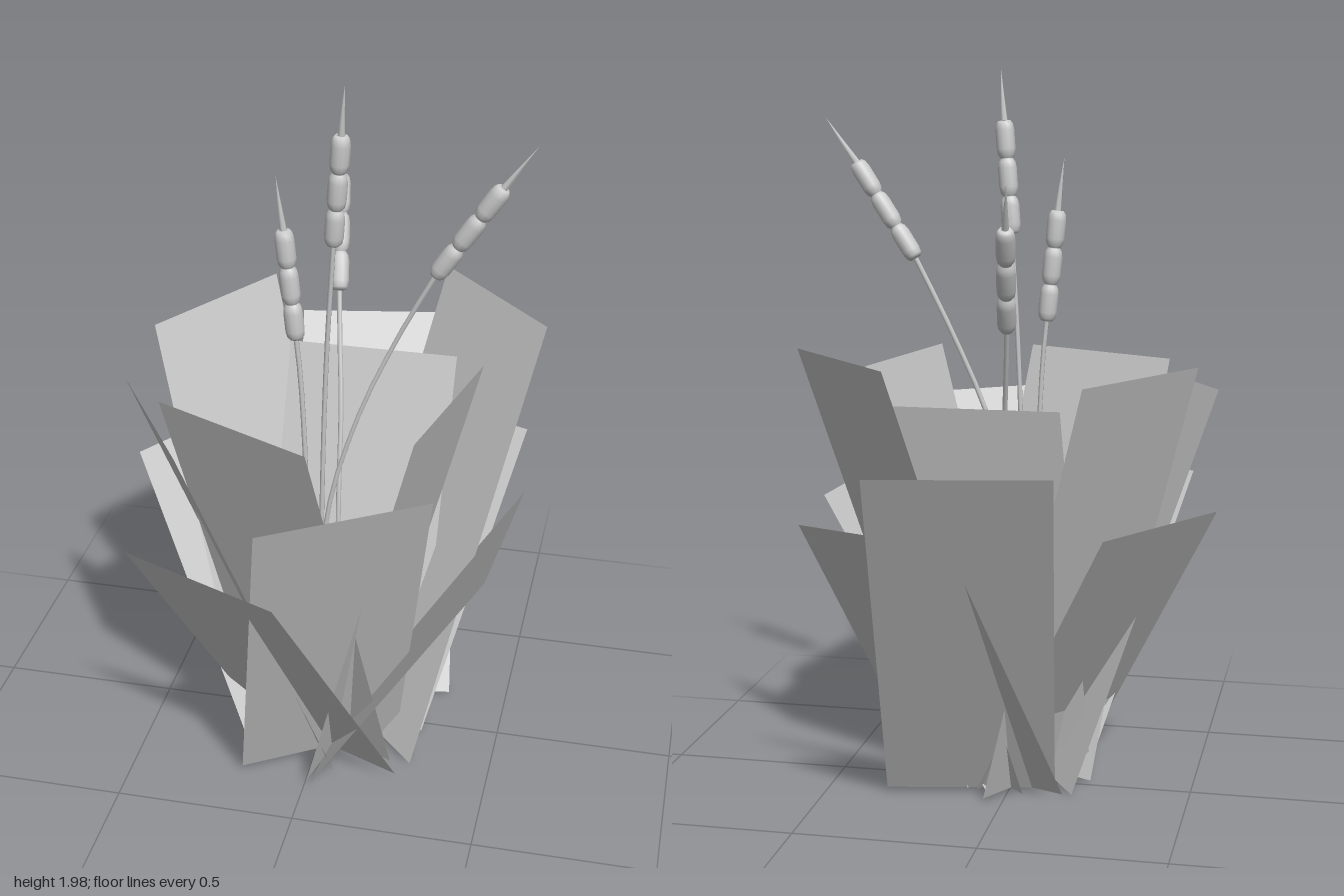
import * as THREE from 'three';

const grey = new THREE.MeshStandardMaterial({ color: 0xcccccc });
const leafGrey = new THREE.MeshStandardMaterial({ color: 0xcccccc, side: THREE.DoubleSide });

// Flat leaf card: top edge from (x1, z1) to (x2, z2) at height h, leaning outwards by lean,
// with the foot slid sideways by skew
function leafCard(x1, z1, x2, z2, h, lean, skew) {
  const edge = Math.hypot(x2 - x1, z2 - z1);
  let nx = (z2 - z1) / edge, nz = -(x2 - x1) / edge;
  if (nx * (x1 + x2) + nz * (z1 + z2) < 0) { nx = -nx; nz = -nz; }
  const dx = -nx * lean + nz * skew, dz = -nz * lean - nx * skew, y0 = 0.01;
  const geo = new THREE.BufferGeometry();
  geo.setAttribute('position', new THREE.Float32BufferAttribute([
    x1 + dx, y0, z1 + dz, x2 + dx, y0, z2 + dz, x2, h, z2, x1, h, z1,
  ], 3));
  geo.setIndex([0, 1, 2, 0, 2, 3]);
  geo.computeVertexNormals();
  const mesh = new THREE.Mesh(geo, leafGrey);
  mesh.name = 'leafCard';
  return mesh;
}

// Places a y-aligned mesh so that its origin is at a and its axis points to b
function aim(mesh, a, b) {
  mesh.position.copy(a);
  mesh.quaternion.setFromUnitVectors(new THREE.Vector3(0, 1, 0), b.clone().sub(a).normalize());
  return mesh;
}

// Seed head made of three blunt lobes
function headGeometry(length) {
  const lobe = [[0.017, 0.01], [0.023, 0.09], [0.026, 0.25], [0.026, 0.75], [0.023, 0.91], [0.017, 0.99]];
  const pts = [new THREE.Vector2(0, 0)];
  for (let i = 0; i < 3; i++) {
    for (const [r, t] of lobe) pts.push(new THREE.Vector2(r, (i + t) * length / 3));
  }
  pts.push(new THREE.Vector2(0, length));
  return new THREE.LatheGeometry(pts, 12);
}

// Reed: bent stem, seed head and pointed spike
function reed(stemPoints, headTop, tip) {
  const group = new THREE.Group();
  group.name = 'reed';
  const pts = stemPoints.map((p) => new THREE.Vector3(...p));
  const bottom = pts[pts.length - 1];
  const top = new THREE.Vector3(...headTop), end = new THREE.Vector3(...tip);

  const stem = new THREE.Mesh(
    new THREE.TubeGeometry(new THREE.CatmullRomCurve3(pts), 16, 0.007, 6), grey);
  stem.name = 'stem';

  const head = aim(new THREE.Mesh(headGeometry(bottom.distanceTo(top)), grey), bottom, top);
  head.name = 'seedHead';

  const spikeLength = top.distanceTo(end);
  const spikeGeo = new THREE.ConeGeometry(0.01, spikeLength, 6);
  spikeGeo.translate(0, spikeLength / 2, 0);
  const spike = aim(new THREE.Mesh(spikeGeo, grey), top, end);
  spike.name = 'spike';

  group.add(stem, head, spike);
  return group;
}

export function createModel() {
  const model = new THREE.Group();
  model.name = 'reedClump';

  const leaves = new THREE.Group();
  leaves.name = 'leaves';
  // x1, z1, x2, z2, height, lean, skew
  const cards = [
    // low, wide-leaning ring
    [0.538, -0.03, 0.497, 0.445, 0.81, 0.485, 0.05],
    [-0.44, 0.5, 0.0, 0.685, 0.81, 0.485, 0.06],
    [-0.56, -0.015, -0.31, -0.41, 0.81, 0.485, 0.03],
    [0.06, -0.55, 0.5, -0.385, 0.81, 0.485, 0.05],
    // middle ring
    [-0.22, -0.62, 0.24, -0.705, 1.01, 0.56, 0.01],
    [-0.04, 0.7, 0.36, 0.445, 1.03, 0.4, 0.08],
    [-0.545, 0.12, -0.29, 0.52, 1.12, 0.43, 0],
    [-0.165, -0.225, 0.31, -0.225, 1.105, 0.28, 0.045],
    // tall ring
    [0.56, -0.177, 0.235, -0.515, 1.245, 0.47, -0.08],
    [-0.505, -0.04, -0.26, -0.445, 1.205, 0.4, 0.06],
    [-0.385, 0.325, 0.05, 0.525, 1.17, 0.36, 0.02],
    [0.41, -0.04, 0.305, 0.425, 1.18, 0.31, 0.01],
  ];
  for (const c of cards) leaves.add(leafCard(...c));
  model.add(leaves);

  // Four reeds: stem points, top of the head, tip of the spike
  model.add(
    reed([[-0.02, 0.01, 0.05], [-0.015, 0.7, 0.05], [0, 1.2, 0.055], [0.022, 1.54, 0.07]],
      [0.046, 1.845, 0.085], [0.057, 1.98, 0.097]),
    reed([[-0.02, 0.01, 0.06], [0.0, 0.7, 0.06], [0.085, 1.03, 0.055], [0.195, 1.29, 0.045], [0.287, 1.47, 0.05]],
      [0.455, 1.73, 0.06], [0.54, 1.85, 0.06]),
    reed([[-0.09, 0, 0.15], [-0.04, 0.7, 0.135], [-0.05, 1.15, 0.135], [-0.063, 1.295, 0.135]],
      [-0.093, 1.6, 0.138], [-0.11, 1.745, 0.142]),
    reed([[0.04, 0.01, 0.06], [0.03, 0.7, 0.04], [0.02, 1.01, -0.04], [0, 1.2, -0.115], [-0.011, 1.305, -0.16]],
      [-0.038, 1.585, -0.31], [-0.055, 1.705, -0.38]),
  );
  return model;
}
